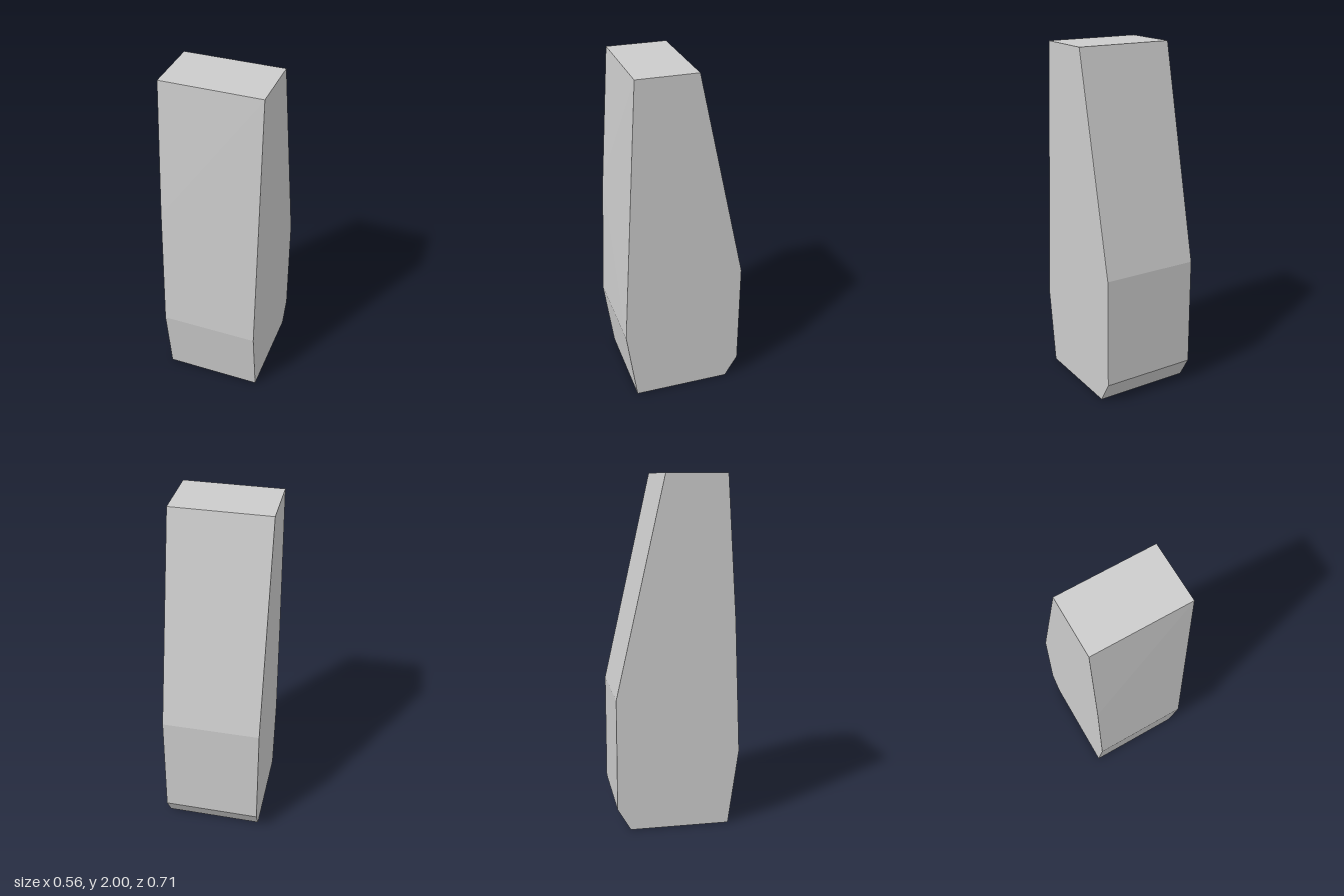
import * as THREE from 'three';
import { ConvexGeometry } from 'three/addons/geometries/ConvexGeometry.js';

const HALF_WIDTH = 0.282;

// Side outline as [z, y]
const OUTLINE = [
  [0.27, 2], [-0.074, 2],          // flat top
  [-0.353, 0.768], [-0.353, 0.127], // sloped then upright back
  [-0.278, 0], [0.292, 0],         // flat base
  [0.353, 0.435],                  // front bulge
];

export function createModel() {
  const group = new THREE.Group();
  group.name = 'taperedBlock';

  // The same outline on both sides, joined by flat facets
  const points = [];
  for (const x of [-HALF_WIDTH, HALF_WIDTH]) {
    for (const [z, y] of OUTLINE) points.push(new THREE.Vector3(x, y, z));
  }
  // Slight extra bulge on the right front edge
  points.push(new THREE.Vector3(-HALF_WIDTH, 1.2, 0.322));

  const body = new THREE.Mesh(
    new ConvexGeometry(points),
    new THREE.MeshStandardMaterial({ color: 0xcccccc, flatShading: true })
  );
  body.name = 'body';
  group.add(body);
  return group;
}
